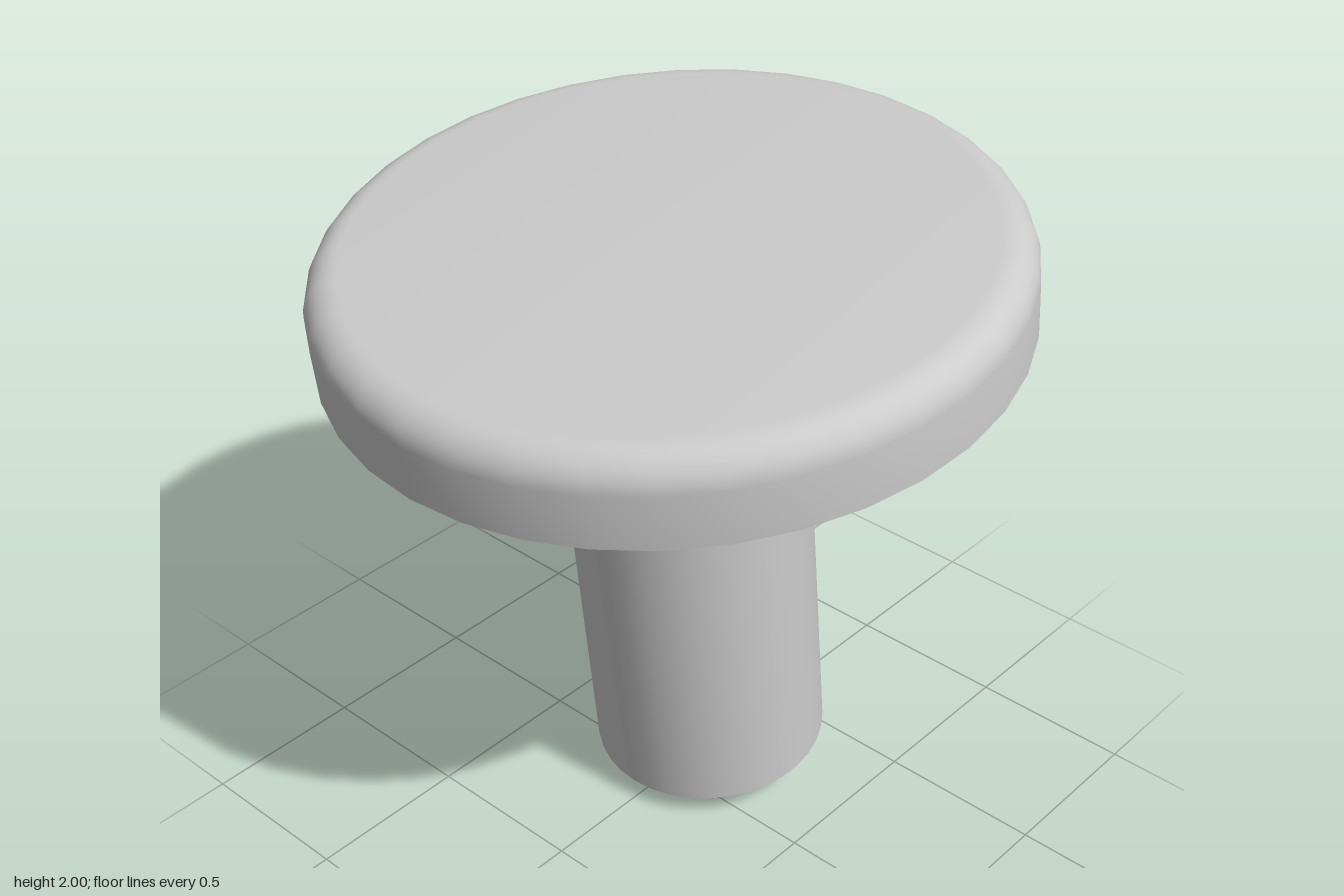
import * as THREE from 'three';
import { toCreasedNormals } from 'three/addons/utils/BufferGeometryUtils.js';

const SIDES = 36;
const material = new THREE.MeshStandardMaterial({ color: 0xcccccc });

// Turned part from [radius, height] points listed bottom to top
function turned(name, profile) {
  const points = profile.map(([r, y]) => new THREE.Vector2(r, y));
  const geometry = toCreasedNormals(new THREE.LatheGeometry(points, SIDES), Math.PI / 7);
  const mesh = new THREE.Mesh(geometry, material);
  mesh.name = name;
  return mesh;
}

export function createModel() {
  const model = new THREE.Group();
  model.name = 'tiltedPin';

  const headR = 0.985, headH = 0.262, fillet = 0.1;
  const neckR = 0.32, shankR = 0.357, tipR = 0.287;

  // Head: flat underside, straight rim, rounded upper edge
  const head = [[neckR, 0], [headR, 0]];
  const steps = 8;
  for (let i = 0; i <= steps; i++) {
    const a = (i / steps) * Math.PI / 2;
    head.push([headR - fillet + fillet * Math.cos(a), headH - fillet + fillet * Math.sin(a)]);
  }
  head.push([0, headH]);
  model.add(turned('head', head));

  // Neck between the head and the shank shoulder
  model.add(turned('neck', [[neckR, -0.335], [neckR, 0]]));

  // Shank with bevelled tip and a small sloped shoulder
  model.add(turned('shank', [
    [0, -1.618], [tipR, -1.618], [shankR, -1.542], [shankR, -0.352], [neckR, -0.335],
  ]));

  // The whole pin leans about the z axis, pivoting at the head underside
  model.rotation.z = 0.112;
  model.position.set(0.0075, 1.64, 0);

  const root = new THREE.Group();
  root.add(model);
  return root;
}
